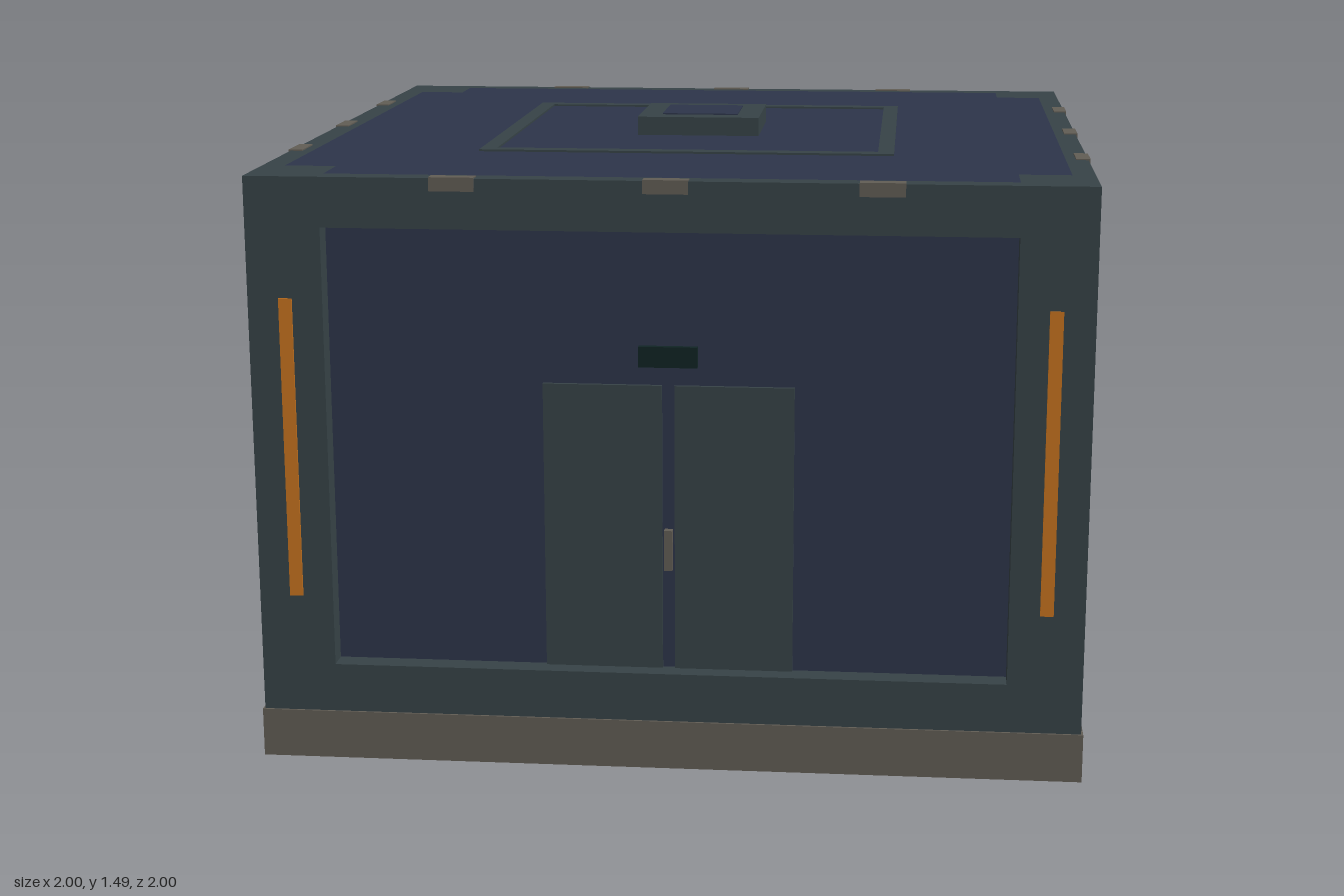
import * as THREE from 'three';

const mat = (name, color) => {
  const m = new THREE.MeshStandardMaterial({ color });
  m.name = name;
  return m;
};

export function createModel() {
  const root = new THREE.Group();
  root.name = 'bunkerRoom';
  const navy = mat('navyPanel', 0x2d354a);
  const slate = mat('slateFrame', 0x374347);
  const taupe = mat('taupeTrim', 0x625d55);
  const orange = mat('orangeLight', 0xc87420);
  const dark = mat('darkGreen', 0x102424);

  // Box given by its low and high corners
  const box = (parent, name, m, x0, x1, y0, y1, z0, z1) => {
    const mesh = new THREE.Mesh(new THREE.BoxGeometry(x1 - x0, y1 - y0, z1 - z0), m);
    mesh.position.set((x0 + x1) / 2, (y0 + y1) / 2, (z0 + z1) / 2);
    mesh.name = name;
    parent.add(mesh);
  };
  const W = 0.94, F = 0.995, P = 0.815, TOP = 1.44;

  // Plinth and inner walls
  box(root, 'base', taupe, -1, 1, 0, 0.12, -1, 1);
  box(root, 'walls', navy, -W, W, 0.12, 1.42, -W, W);

  // Roof plate, notched around the corner posts
  const roof = new THREE.Shape([
    [-P, -W], [P, -W], [P, -P], [W, -P], [W, P], [P, P],
    [P, W], [-P, W], [-P, P], [-W, P], [-W, -P], [-P, -P],
  ].map(([x, y]) => new THREE.Vector2(x, y)));
  const roofGeo = new THREE.ExtrudeGeometry(roof, { depth: 0.03, bevelEnabled: false });
  roofGeo.rotateX(-Math.PI / 2);
  const roofMesh = new THREE.Mesh(roofGeo, navy);
  roofMesh.position.y = TOP - 0.03;
  roofMesh.name = 'roof';
  root.add(roofMesh);

  // Corner posts
  for (const x of [-1, 1]) for (const z of [-1, 1]) {
    const cx = x * (P + F) / 2, cz = z * (P + F) / 2, h = (F - P) / 2;
    box(root, 'cornerPost', slate, cx - h, cx + h, 0.12, TOP, cz - h, cz + h);
  }

  // Four sides: beams, light strips and roof clips, facing +z then turned
  const sides = ['front', 'left', 'back', 'right'].map((name, i) => {
    const side = new THREE.Group();
    side.name = name + 'Side';
    side.rotation.y = i * Math.PI / 2;
    box(side, 'bottomBeam', slate, -P, P, 0.12, 0.24, W, F);
    box(side, 'topBeam', slate, -P, P, 1.32, TOP, W, F);
    for (const s of [-1, 1])
      box(side, 'lightStrip', orange, s * 0.904 - 0.016, s * 0.904 + 0.016, 0.415, 1.15, F - 0.01, 1);
    for (const x of [-0.5, 0, 0.5])
      box(side, 'roofClip', taupe, x - 0.053, x + 0.053, 1.41, TOP + 0.003, 0.965, 1);
    root.add(side);
    return side;
  });

  // Double door, handle and sign on the front
  const front = sides[0];
  box(front, 'doorLeaf', slate, -0.3, -0.015, 0.24, 0.945, W, W + 0.01);
  box(front, 'doorLeaf', slate, 0.015, 0.3, 0.24, 0.945, W, W + 0.01);
  box(front, 'doorHandle', taupe, -0.01, 0.01, 0.49, 0.59, W, W + 0.02);
  box(front, 'doorSign', dark, -0.07, 0.07, 0.99, 1.04, W, W + 0.015);

  // Vent and service plate on the +x side (local x = -z)
  const vent = sides[1];
  box(vent, 'ventPanel', dark, -0.46, -0.1, 0.72, 0.965, W, W + 0.01);
  for (let i = 0; i < 4; i++) {
    const y = 0.752 + i * 0.06;
    box(vent, 'ventSlat', slate, -0.45, -0.11, y - 0.009, y + 0.009, W, W + 0.018);
  }
  box(vent, 'servicePlate', taupe, 0.22, 0.46, 0.52, 0.68, W, W + 0.01);

  // Roof outline square
  const ringY = TOP + 0.005;
  for (const s of [-1, 1]) {
    box(root, 'roofStripe', slate, -0.52, 0.52, TOP, ringY, s * 0.5 - 0.02, s * 0.5 + 0.02);
    box(root, 'roofStripe', slate, s * 0.5 - 0.02, s * 0.5 + 0.02, TOP, ringY, -0.48, 0.48);
  }

  // Roof hatch with inset panel
  box(root, 'roofHatch', slate, -0.16, 0.16, TOP, 1.488, -0.16, 0.16);
  box(root, 'hatchPanel', navy, -0.1, 0.1, 1.48, 1.491, -0.1, 0.1);

  return root;
}
